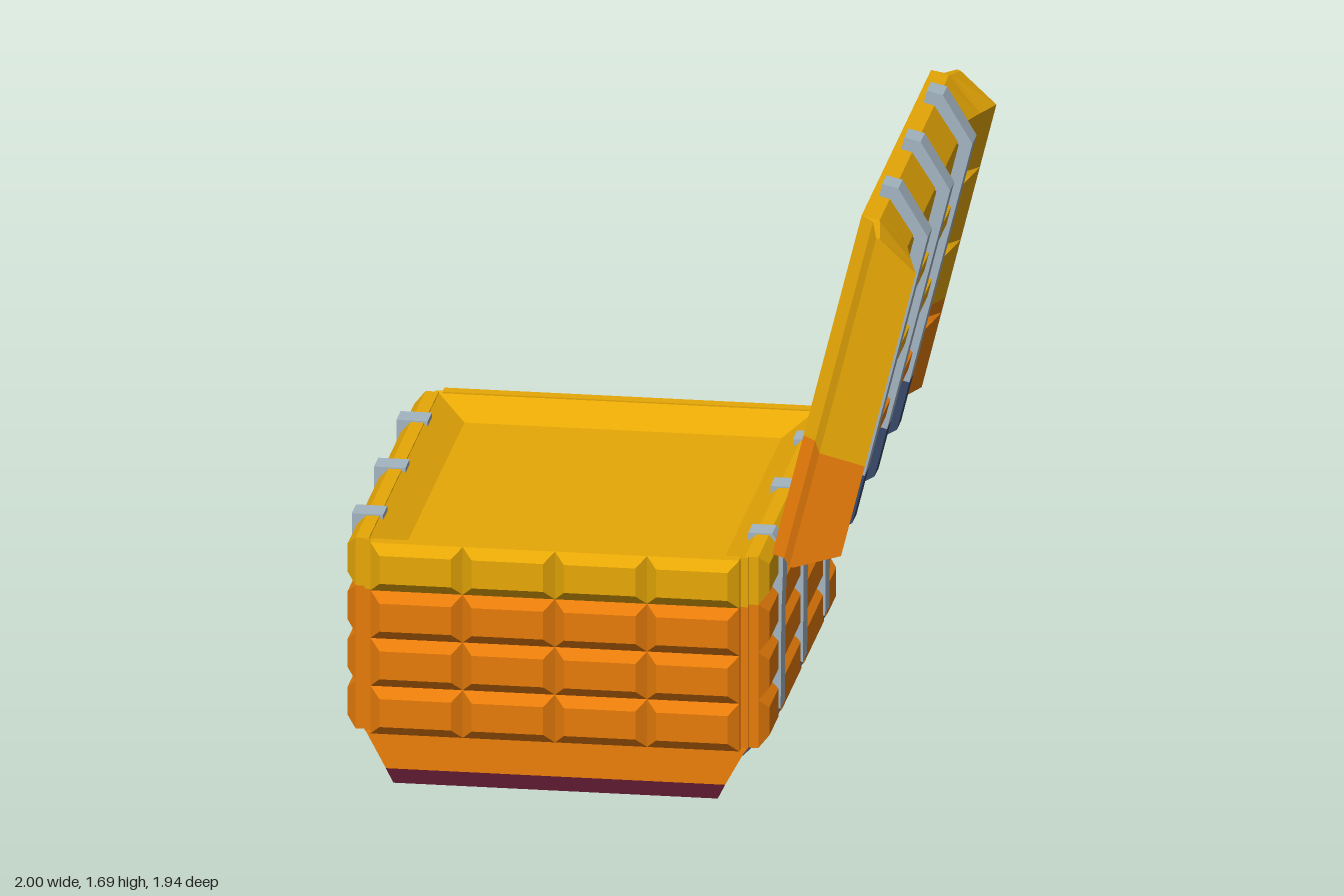
import * as THREE from 'three';

const paint = (name, color) => {
  const m = new THREE.MeshStandardMaterial({ color });
  m.name = name;
  return m;
};

export function createModel() {
  const gold = paint('gold', 0xeaaa06);
  const orange = paint('orange', 0xf2820a);
  const steel = paint('steel', 0xa3b5c1);
  const navy = paint('navy', 0x384868);
  const maroon = paint('maroon', 0x5e1a32);
  const green = paint('green', 0x33ab68);

  const add = (parent, name, geo, mat, x = 0, y = 0, z = 0) => {
    const m = new THREE.Mesh(geo, mat);
    m.name = name;
    m.position.set(x, y, z);
    parent.add(m);
    return m;
  };

  // Flat-shaded solid through equal-sized loops of [x, y, z], capped at both ends
  const loft = (loops) => {
    const n = loops[0].length, tris = [];
    for (let i = 0; i < loops.length - 1; i++) {
      for (let j = 0; j < n; j++) {
        const k = (j + 1) % n;
        const a = loops[i][j], b = loops[i][k], c = loops[i + 1][k], d = loops[i + 1][j];
        tris.push([a, b, c], [a, c, d]);
      }
    }
    const first = loops[0], last = loops[loops.length - 1];
    for (let j = 1; j < n - 1; j++) {
      tris.push([first[0], first[j + 1], first[j]], [last[0], last[j], last[j + 1]]);
    }
    // Turn the faces outward if the signed volume is negative
    const vec = (p) => new THREE.Vector3(...p);
    const volume = tris.reduce((s, [a, b, c]) => s + vec(a).dot(vec(b).cross(vec(c))), 0);
    if (volume < 0) tris.forEach((t) => t.reverse());
    const geo = new THREE.BufferGeometry();
    geo.setAttribute('position', new THREE.Float32BufferAttribute(tris.flat(2), 3));
    geo.computeVertexNormals();
    return geo;
  };
  const rect = (a, z0, z1, y) => [[-a, y, z0], [a, y, z0], [a, y, z1], [-a, y, z1]];

  // Bent strap: an outer path in x, y and its mitred offset, drawn out along z
  const band = (path, t, width) => {
    const pts = path.map((p) => new THREE.Vector2(...p));
    const normal = (i) => {
      const d = pts[i + 1].clone().sub(pts[i]).normalize();
      return new THREE.Vector2(-d.y, d.x);
    };
    const inner = pts.map((p, i) => {
      const n1 = normal(Math.max(0, i - 1)), n2 = normal(Math.min(pts.length - 2, i));
      const m = n1.clone().add(n2).normalize();
      return p.clone().addScaledVector(m, t / m.dot(n1));
    });
    const shape = new THREE.Shape([...pts, ...inner.reverse()]);
    return new THREE.ExtrudeGeometry(shape, { depth: width, bevelEnabled: false }).translate(0, 0, -width / 2);
  };

  // Bevelled block standing out along +z
  const stud = (w, h, d, bevel) => {
    const ring = (x, y, z) => [[-x, -y, z], [x, -y, z], [x, y, z], [-x, y, z]];
    return loft([ring(w / 2, h / 2, -0.01), ring(w / 2, h / 2, d / 2), ring(w / 2 - bevel, h / 2 - bevel, d)]);
  };

  const model = new THREE.Group();
  model.name = 'openChest';
  const chest = new THREE.Group();
  chest.name = 'chest';
  chest.position.set(-0.21, 0, -0.145);
  chest.rotation.y = -Math.PI / 6;
  model.add(chest);

  // Base body, tapered underside and gold rim with a shallow tray
  const base = new THREE.Group();
  base.name = 'base';
  chest.add(base);
  add(base, 'baseWalls', loft([rect(0.45, -0.6, 0.6, 0.05), rect(0.52, -0.63, 0.63, 0.14),
    rect(0.52, -0.63, 0.63, 0.54)]), orange);
  add(base, 'baseUnderside', loft([rect(0.43, -0.6, 0.6, 0.018), rect(0.45, -0.6, 0.6, 0.05)]), maroon);
  add(base, 'rimAndTray', loft([rect(0.52, -0.63, 0.63, 0.54), rect(0.52, -0.63, 0.63, 0.68),
    rect(0.515, -0.625, 0.625, 0.68), rect(0.43, -0.55, 0.55, 0.62)]), gold);
  for (const s of [-1, 1]) {
    add(base, 'endFoot', loft([rect(0.46, s * 0.56, s * 0.645, 0.04), rect(0.515, s * 0.56, s * 0.64, 0.14)]), orange);
    add(base, 'endFootSole', loft([rect(0.44, s * 0.56, s * 0.645, 0), rect(0.46, s * 0.56, s * 0.645, 0.04)]), maroon);
  }

  // Bevelled wall blocks: four rows, the top one gold
  const sides = [
    { edges: [-0.5, -0.25, 0, 0.25, 0.5], dist: 0.63, turns: [0, Math.PI] },
    { edges: [-0.62, -0.4, 0, 0.4, 0.62], dist: 0.52, turns: [Math.PI / 2, -Math.PI / 2] },
  ];
  for (const { edges, dist, turns } of sides) {
    for (const turn of turns) {
      const wall = new THREE.Group();
      wall.name = 'wallBlocks';
      wall.rotation.y = turn;
      base.add(wall);
      for (let row = 0; row < 4; row++) {
        for (let i = 0; i < 4; i++) {
          add(wall, 'wallBlock', stud(edges[i + 1] - edges[i], 0.135, 0.052, 0.028),
            row === 3 ? gold : orange, (edges[i] + edges[i + 1]) / 2, 0.2075 + row * 0.135, dist);
        }
      }
    }
  }

  // Lid, in its own frame: y runs from the hinge edge, x points out of the shell
  const lid = new THREE.Group();
  lid.name = 'lid';
  lid.position.set(0.583, 0.69, 0);
  lid.rotation.z = -0.245;
  chest.add(lid);

  // Cross-sections from the middle to the flared end:
  // z, inner face, chamfer, outer face, rib top, end inset
  const half = [
    [0.53, 0.035, 0.05, 0.135, 0.163, 0],
    [0.54, 0, 0.05, 0.137, 0.164, 0],
    [0.615, 0, 0.05, 0.157, 0.175, 0],
    [0.63, 0.035, 0.055, 0.162, 0.177, 0.003],
    [0.715, 0.06, 0.07, 0.187, 0.187, 0.015],
  ];
  const sections = [...half.map(([z, ...rest]) => [-z, ...rest]).reverse(), ...half];
  const split = 0.35;
  const rib = (y, q, r) => [[q, y - 0.036], [r, y - 0.026], [r, y + 0.026], [q, y + 0.036]];
  const shell = (profile) => loft(sections.map(([z, ...s]) => profile(...s).map(([x, y]) => [x, y, z])));
  add(lid, 'lidShellLower', shell((q0, q1, q2, r, e) =>
    [[q0, e], [q1, e], [q2, 0.085], ...rib(0.28, q2, r), [q2, split], [q0, split]]), orange);
  add(lid, 'lidShellUpper', shell((q0, q1, q2, r, e) =>
    [[q0, split], [q2, split], ...rib(0.495, q2, r), ...rib(0.71, q2, r),
      [q2, 0.92], [q1, 1 - e], [q0, 1 - e]]), gold);

  // Inner frame and lining
  add(lid, 'lidFrameBottom', new THREE.BoxGeometry(0.05, 0.08, 1.07), orange, 0.025, 0.04, 0);
  add(lid, 'lidFrameTop', new THREE.BoxGeometry(0.05, 0.08, 1.07), gold, 0.025, 0.96, 0);
  add(lid, 'lidLining', new THREE.BoxGeometry(0.009, 0.86, 1.075), green, 0.027, 0.5, 0);

  // Three metal straps around base and lid; the hinge side slopes in at its top
  const width = 0.075, thick = 0.035;
  const wallPath = [[0.585, 0.6], [0.58, 0.46], [0.578, 0.19]];
  const hingePath = [[0.49, 0.684], [0.555, 0.684], [0.582, 0.645], ...wallPath];
  const frontPath = [[-0.5, 0.684], [-0.585, 0.684], ...wallPath.map(([x, y]) => [-x, y])];
  const footPath = [[0.578, 0.19], [0.55, 0.125], [0.425, 0.003]];
  const underPath = [...footPath, ...footPath.map(([x, y]) => [-x, y]).reverse()];
  for (const z of [-0.395, 0, 0.395]) {
    add(base, 'hingeStrap', band(hingePath, -thick, width), steel, 0, 0, z);
    add(base, 'frontStrap', band(frontPath, thick, width), steel, 0, 0, z);
    add(base, 'underStrap', band(underPath, -thick, width), navy, 0, 0, z);
    add(lid, 'lidStrapFoot', band([[0, -0.03], [0.06, -0.03], [0.175, 0.08], [0.175, 0.22]], thick, width), navy, 0, 0, z);
    add(lid, 'lidStrap', band([[0.175, 0.22], [0.175, 0.925], [0.065, 1.035], [0.02, 1.035]], thick, width), steel, 0, 0, z);
  }
  return model;
}
